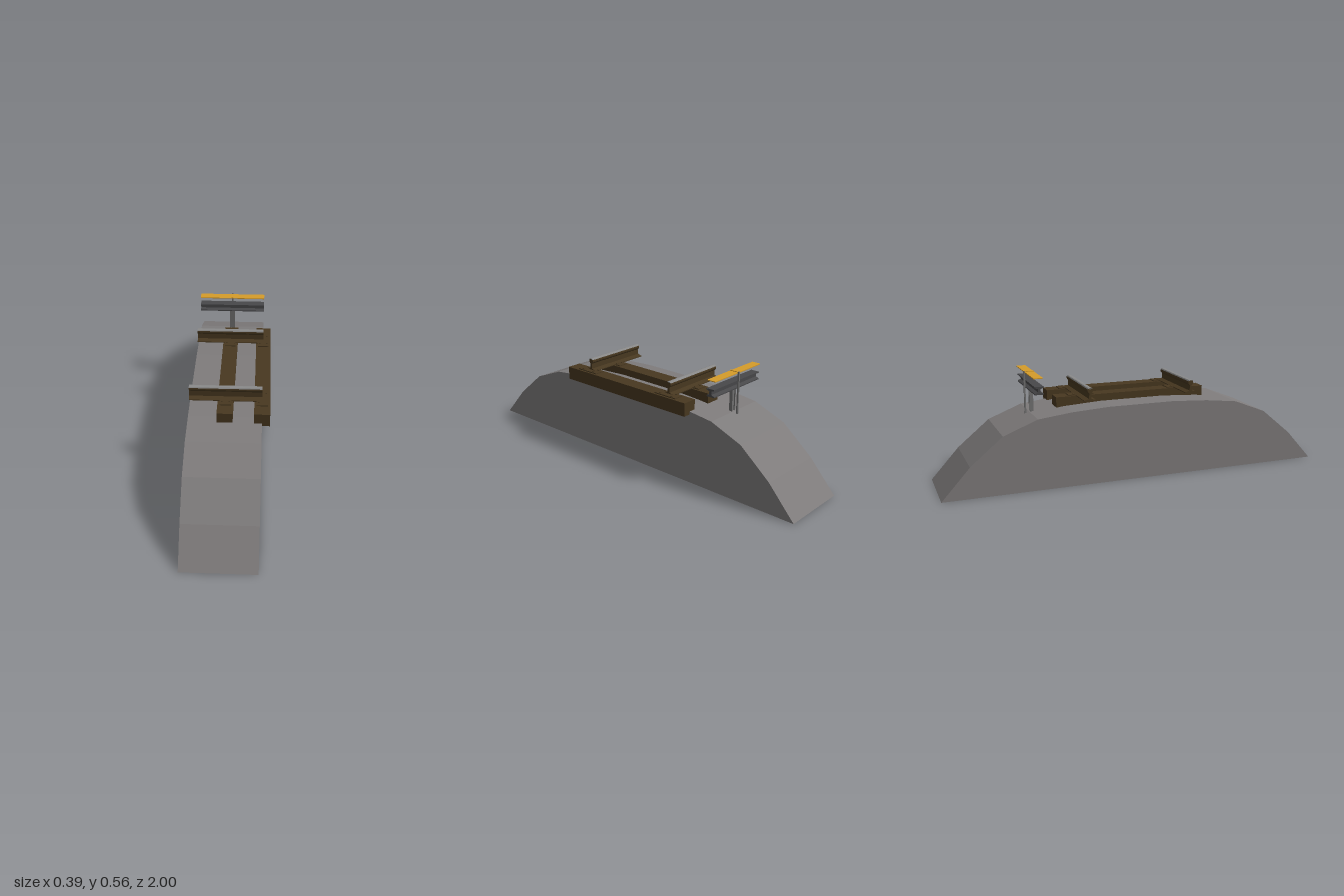
import * as THREE from 'three';

const X0 = -0.197, X1 = 0.157, LEN = X1 - X0;

const paint = (name, color) => {
  const m = new THREE.MeshStandardMaterial({ color });
  m.name = name;
  return m;
};

// Symmetric cross-section from its right half (bottom to top), extruded along x
function section(half) {
  const left = half.filter(p => p[0] > 0).reverse().map(([a, b]) => [-a, b]);
  const shape = new THREE.Shape([...half, ...left].map(p => new THREE.Vector2(...p)));
  return new THREE.ExtrudeGeometry(shape, { depth: LEN, bevelEnabled: false })
    .rotateY(Math.PI / 2).translate(X0, 0, 0);
}

export function createModel() {
  const stone = paint('ballast grey', 0x7f7c7c);
  const brown = paint('rusty brown', 0x483820);
  const steel = paint('polished steel', 0x8a8a8a);
  const dark = paint('conductor grey', 0x48484a);
  const post = paint('post grey', 0x727272);
  const yellow = paint('board yellow', 0xd69c2a);
  const model = new THREE.Group();

  const add = (name, geo, mat, x = 0, y = 0, z = 0) => {
    const mesh = new THREE.Mesh(geo, mat);
    mesh.name = name;
    mesh.position.set(x, y, z);
    model.add(mesh);
    return mesh;
  };
  const box = (name, mat, w, h, d, x, y, z) => add(name, new THREE.BoxGeometry(w, h, d), mat, x, y, z);

  // Faceted ballast mound
  add('ballast', section([[1, 0], [0.86, 0.155], [0.7, 0.288], [0.53, 0.355], [0.36, 0.375], [0.17, 0.386]]), stone);

  // Sleepers
  const sleepers = [-0.02, 0.157];
  for (const x of sleepers) box('sleeper', brown, 0.076, 0.067, 0.8, x, 0.3885, 0);

  // Running rails: foot, web and head, with a worn steel strip along the top
  const railShape = [
    [0.03, 0], [0.03, 0.004], [0.006, 0.011], [0.005, 0.038], [0.012, 0.045],
    [0.0135, 0.052], [0.0125, 0.059], [0.009, 0.062]];
  const capShape = [[0.0125, 0.059], [0.009, 0.064], [0.004, 0.0655]];
  for (const z of [-0.268, 0.268]) {
    add('rail', section(railShape), brown, 0, 0.422, z);
    add('railTop', section(capShape), steel, 0, 0.422, z);
    // Tie plates and spikes
    for (const x of sleepers) {
      box('tiePlate', brown, 0.056, 0.005, 0.13, x, 0.4245, z);
      for (const dx of [-0.018, 0.018])
        for (const dz of [-0.036, 0.036])
          box('spike', brown, 0.008, 0.004, 0.012, x + dx, 0.4275, z + dz);
    }
  }

  // Conductor rail with an I section
  add('conductorRail', section([
    [0.022, 0], [0.022, 0.005], [0.006, 0.012], [0.006, 0.028], [0.022, 0.034], [0.022, 0.039]]),
  dark, 0, 0.473, -0.519);

  // H-section support post
  box('postWeb', post, 0.022, 0.14, 0.005, -0.02, 0.403, -0.518);
  for (const s of [-1, 1]) box('postFlange', post, 0.005, 0.14, 0.017, -0.02 + s * 0.011, 0.403, -0.518);

  // Cover board on its slim bracket
  box('coverBoard', yellow, LEN, 0.004, 0.046, (X0 + X1) / 2, 0.552, -0.523);
  box('bracketPole', post, 0.008, 0.217, 0.008, -0.02, 0.4495, -0.548);
  box('bracketArm', yellow, 0.008, 0.003, 0.05, -0.02, 0.5555, -0.523);

  return model;
}
